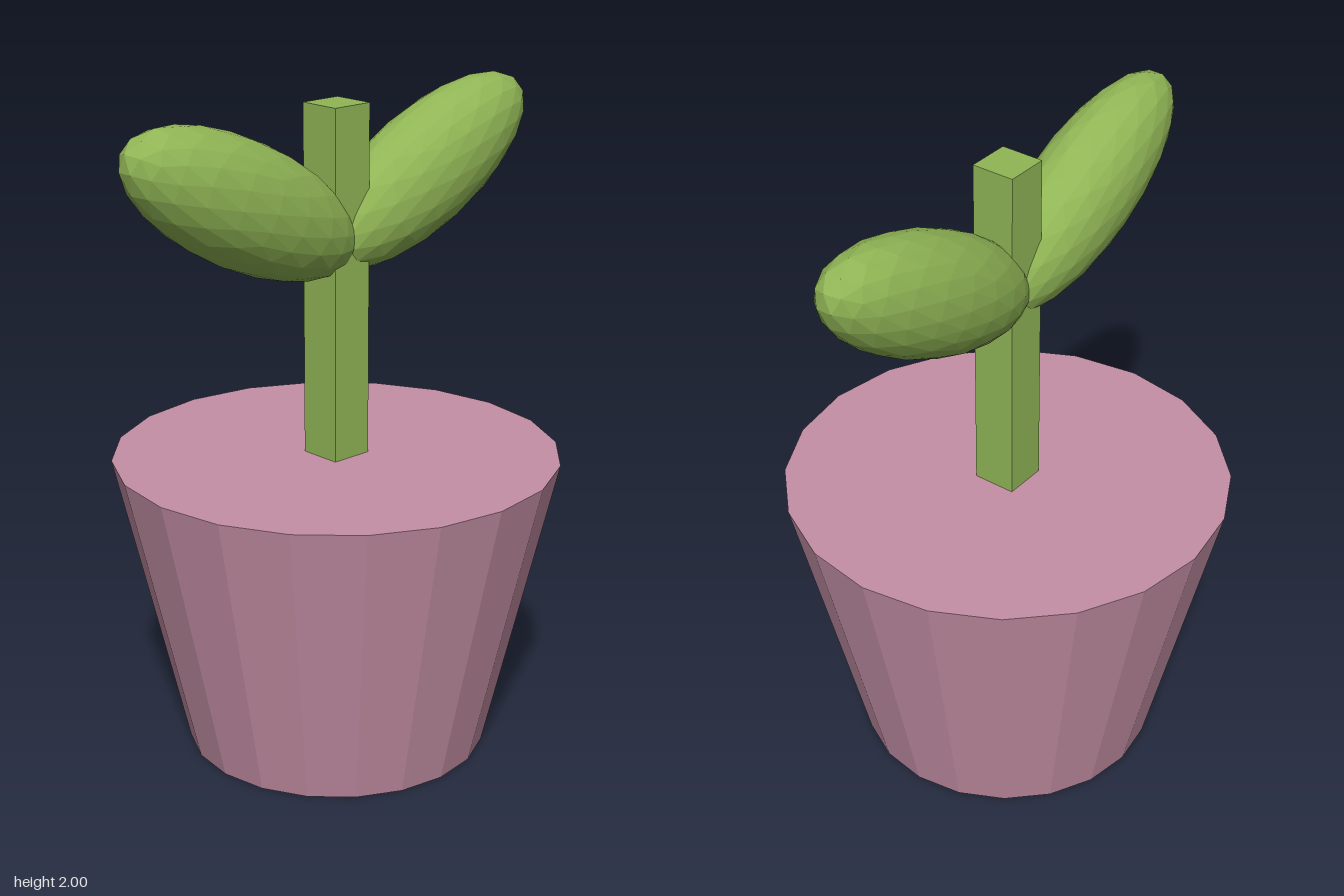
import * as THREE from 'three';

export function createModel() {
  const model = new THREE.Group();
  model.name = 'pottedSprout';

  const potPink = new THREE.MeshStandardMaterial({ color: 0xc48fa5, flatShading: true });
  potPink.name = 'dusty pink';
  const leafGreen = new THREE.MeshStandardMaterial({ color: 0x90b555, flatShading: true });
  leafGreen.name = 'leaf green';

  const add = (name, geometry, material, x, y, z) => {
    const mesh = new THREE.Mesh(geometry, material);
    mesh.name = name;
    mesh.position.set(x, y, z);
    model.add(mesh);
    return mesh;
  };

  // Tapered 20-sided pot with a closed top
  const potHeight = 0.925;
  add('pot', new THREE.CylinderGeometry(0.677, 0.46, potHeight, 20), potPink, 0, potHeight / 2, 0);

  // Square stem, sunk a little into the pot
  const stemBase = 0.9, stemTop = 1.985;
  add('stem', new THREE.BoxGeometry(0.135, stemTop - stemBase, 0.135), leafGreen,
    0, (stemBase + stemTop) / 2, 0);

  // Mirrored pair of faceted ellipsoid leaves, tilted upwards
  const leafShape = new THREE.IcosahedronGeometry(1, 3).scale(0.457, 0.182, 0.15);
  for (const side of [1, -1]) {
    const leaf = add(side > 0 ? 'leftLeaf' : 'rightLeaf', leafShape, leafGreen, side * 0.355, 1.74, 0);
    leaf.rotation.z = side * THREE.MathUtils.degToRad(26.4);
  }

  return model;
}
